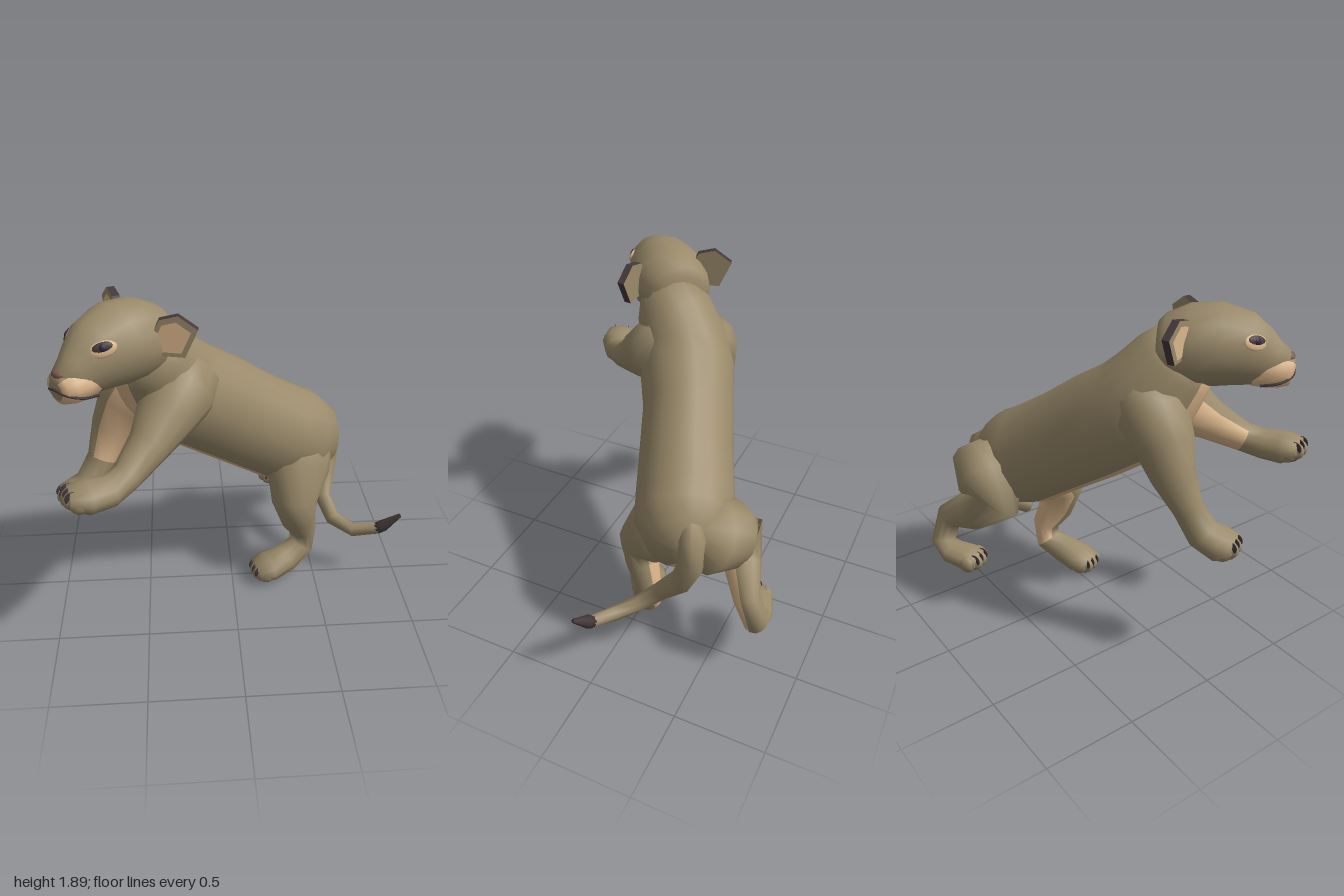
import * as THREE from 'three';

const V = (x, y, z) => new THREE.Vector3(x, y, z);
const mat = (color, side = THREE.FrontSide) => new THREE.MeshStandardMaterial({ color, side });
const coat = mat(0x9a8a6a), cream = mat(0xdcb78c), dark = mat(0x45383a), iris = mat(0x2b2540), nosePink = mat(0x7a5c50);
const thinCream = mat(0xdcb78c, THREE.DoubleSide);

const BODY_SIDE = V(0.384, 0, 0.923);   // towards the animal's left
const HEAD_SIDE = V(0.71, 0, 0.70);
const HEAD_FWD = V(-0.70, 0, 0.71);
const headPoint = (s, lat, y) => V(-0.5, 0, 0.22).addScaledVector(HEAD_FWD, s).addScaledVector(HEAD_SIDE, lat).setY(y);

// Skin over oval rings [x, y, z, halfWidth, halfHeight]; a sector around angle `pale` is cream on the first `paleRows`
function loft(name, stations, side, { pale = 0, spread = 0.8, paleRows = 0, seg = 14 } = {}) {
  const centres = stations.map(s => V(s[0], s[1], s[2]));
  const n = centres.length, pos = [], skin = [], light = [];
  stations.forEach((s, i) => {
    const t = centres[Math.min(i + 1, n - 1)].clone().sub(centres[Math.max(i - 1, 0)]).normalize();
    const u = side.clone().addScaledVector(t, -side.dot(t)).normalize();
    const v = t.clone().cross(u);
    for (let j = 0; j < seg; j++) {
      const a = j / seg * Math.PI * 2;
      const p = centres[i].clone().addScaledVector(u, Math.cos(a) * s[3]).addScaledVector(v, Math.sin(a) * (s[4] ?? s[3]));
      pos.push(p.x, p.y, p.z);
    }
  });
  for (let i = 0; i < n - 1; i++) for (let j = 0; j < seg; j++) {
    const k = (j + 1) % seg, a = i * seg + j, b = i * seg + k;
    const mid = (j + 0.5) / seg * Math.PI * 2;
    const list = i < paleRows && Math.cos(mid - pale) > Math.cos(spread) ? light : skin;
    list.push(a, b, a + seg, b, b + seg, a + seg);
  }
  const first = n * seg, last = first + 1, e = (n - 1) * seg;
  pos.push(...centres[0].toArray(), ...centres[n - 1].toArray());
  for (let j = 0; j < seg; j++) {
    const k = (j + 1) % seg;
    skin.push(first, k, j, last, e + j, e + k);
  }
  const g = new THREE.BufferGeometry();
  g.setAttribute('position', new THREE.Float32BufferAttribute(pos, 3));
  g.setIndex([...skin, ...light]);
  g.addGroup(0, skin.length, 0);
  g.addGroup(skin.length, light.length, 1);
  g.computeVertexNormals();
  const m = new THREE.Mesh(g, [coat, cream]);
  m.name = name;
  return m;
}

function blob(name, p, sx, sy, sz, material) {
  const m = new THREE.Mesh(new THREE.SphereGeometry(1, 12, 8), material);
  m.name = name;
  m.position.copy(p);
  m.scale.set(sx, sy, sz);
  return m;
}

// Leg with toes and a dark pad at its last stations
function leg(name, stations, pale) {
  const g = new THREE.Group();
  g.name = name;
  g.add(loft('limb', stations, BODY_SIDE, { pale, paleRows: stations.length - 4, seg: 12 }));
  const [b, a] = stations.slice(-2).map(s => V(s[0], s[1], s[2]));
  const fwd = a.clone().sub(b).normalize();
  const side = BODY_SIDE.clone().addScaledVector(fwd, -BODY_SIDE.dot(fwd)).normalize();
  const paw = new THREE.Group();
  paw.name = 'paw';
  paw.position.copy(a);
  paw.setRotationFromMatrix(new THREE.Matrix4().makeBasis(side, fwd.clone().cross(side), fwd));
  for (let i = 0; i < 4; i++) {
    const off = i - 1.5;
    paw.add(blob('toe', V(off * 0.043, -0.008, -0.025 - 0.012 * off * off), 0.033, 0.05, 0.055, coat));
    if (i < 3) paw.add(blob('toeGap', V((i - 1) * 0.043, 0.015, -0.012), 0.004, 0.036, 0.036, dark));
  }
  paw.add(blob('pad', V(0, -0.052, -0.075), 0.065, 0.025, 0.065, dark));
  g.add(paw);
  return g;
}

function ear(name, sign, p, xAxis) {
  const outline = [[0, -0.08], [-0.05, 0.0], [0, 0.1], [0.09, 0.12], [0.185, 0.05], [0.12, -0.09]];
  const shape = k => new THREE.Shape(outline.map(([x, y]) => new THREE.Vector2(sign * (x * k + 0.05 * (1 - k)), y * k)));
  const g = new THREE.Group();
  g.name = name;
  const shell = new THREE.Mesh(new THREE.ExtrudeGeometry(shape(1), { depth: 0.04, bevelEnabled: false }), [coat, dark]);
  shell.name = 'earShell';
  shell.position.z = -0.04;
  const inner = new THREE.Mesh(new THREE.ShapeGeometry(shape(0.75)), thinCream);
  inner.name = 'innerEar';
  inner.position.z = 0.003;
  g.add(shell, inner);
  g.position.copy(p);
  const x = xAxis.clone().normalize(), y = V(0, 1, 0);
  g.setRotationFromMatrix(new THREE.Matrix4().makeBasis(x, y, x.clone().cross(y)));
  return g;
}

function eye(name, sign) {
  const g = new THREE.Group();
  g.name = name;
  const p = headPoint(0.3, sign * 0.118, 1.742);
  g.position.copy(p);
  g.lookAt(p.clone().addScaledVector(HEAD_FWD, 0.6).addScaledVector(HEAD_SIDE, sign * 0.75).add(V(0, 0.35, 0)));
  g.rotateZ(sign * 0.2);
  g.add(blob('eyePatch', V(0, -0.003, 0.004), 0.07, 0.04, 0.014, cream));
  g.add(blob('eyelid', V(0, 0.006, 0.01), 0.052, 0.025, 0.012, dark));
  g.add(blob('iris', V(0, 0.004, 0.016), 0.019, 0.019, 0.009, iris));
  return g;
}

export function createModel() {
  const model = new THREE.Group();
  model.name = 'rearingBigCat';

  // Torso, from rump to neck
  model.add(loft('torso', [
    [0.61, 0.78, -0.38, 0.08, 0.09], [0.56, 0.79, -0.35, 0.19, 0.2], [0.44, 0.81, -0.29, 0.26, 0.28],
    [0.3, 0.87, -0.235, 0.265, 0.29], [0.1, 1.01, -0.15, 0.255, 0.285], [-0.1, 1.157, -0.07, 0.25, 0.29],
    [-0.28, 1.29, 0.02, 0.265, 0.285], [-0.37, 1.42, 0.09, 0.245, 0.26], [-0.43, 1.56, 0.17, 0.21, 0.225],
    [-0.48, 1.66, 0.23, 0.16, 0.18]], BODY_SIDE, { pale: -Math.PI / 2, spread: 0.55, paleRows: 9, seg: 18 }));

  // Head: [distance forward, half width, top, bottom]
  const headRings = rows => rows.map(([s, a, t, b]) => [...headPoint(s, 0, (t + b) / 2).toArray(), a, (t - b) / 2]);
  const head = new THREE.Group();
  head.name = 'head';
  head.add(loft('skull', headRings([
    [-0.17, 0.13, 1.78, 1.54], [-0.12, 0.185, 1.82, 1.5], [0, 0.22, 1.875, 1.475], [0.13, 0.205, 1.89, 1.475],
    [0.25, 0.165, 1.85, 1.475], [0.33, 0.125, 1.78, 1.475], [0.4, 0.095, 1.72, 1.49], [0.47, 0.06, 1.67, 1.52]]),
  HEAD_SIDE, { seg: 16 }));
  head.add(loft('muzzle', headRings([
    [0.3, 0.1, 1.66, 1.48], [0.37, 0.113, 1.67, 1.475], [0.44, 0.104, 1.66, 1.48], [0.485, 0.08, 1.645, 1.49],
    [0.5, 0.045, 1.62, 1.51]]), HEAD_SIDE, { pale: -Math.PI / 2, spread: 2.5, paleRows: 4 }));
  const nose = blob('nose', headPoint(0.475, 0, 1.64), 0.042, 0.024, 0.028, nosePink);
  nose.rotation.y = -Math.PI / 4;
  head.add(nose);
  const lips = [[0.34, 0.113, 1.52], [0.43, 0.107, 1.535], [0.49, 0.06, 1.555], [0.505, 0, 1.57],
    [0.49, -0.06, 1.555], [0.43, -0.107, 1.535], [0.34, -0.113, 1.52]];
  const mouth = new THREE.Mesh(new THREE.TubeGeometry(new THREE.CatmullRomCurve3(lips.map(p => headPoint(...p))), 24, 0.007, 5), dark);
  mouth.name = 'mouth';
  head.add(mouth, eye('leftEye', 1), eye('rightEye', -1));
  head.add(ear('leftEar', 1, V(-0.37, 1.72, 0.38), V(0.98, 0, 0.08)));
  head.add(ear('rightEar', -1, V(-0.6, 1.745, 0.1), V(0.35, 0, 0.93)));
  model.add(head);

  // Legs, from the body down to the toes
  model.add(leg('leftForeleg', [
    [-0.2, 1.48, 0.03, 0.05], [-0.23, 1.43, 0.1, 0.17], [-0.29, 1.36, 0.19, 0.2], [-0.36, 1.28, 0.31, 0.16],
    [-0.45, 1.18, 0.44, 0.11], [-0.56, 1.09, 0.575, 0.08], [-0.64, 1.06, 0.65, 0.092, 0.08],
    [-0.74, 1.065, 0.7, 0.112, 0.085], [-0.83, 1.085, 0.73, 0.09, 0.05]], Math.PI));
  model.add(leg('rightForeleg', [
    [-0.3, 1.46, 0.02, 0.05], [-0.38, 1.41, 0.01, 0.17], [-0.48, 1.34, 0.0, 0.19], [-0.58, 1.22, 0.0, 0.155],
    [-0.66, 1.07, 0.0, 0.115], [-0.725, 0.9, 0.05, 0.08], [-0.79, 0.77, 0.1, 0.095, 0.088],
    [-0.87, 0.73, 0.15, 0.115, 0.088], [-0.94, 0.735, 0.185, 0.09, 0.055]], 0));
  model.add(leg('leftHindLeg', [
    [0.44, 0.95, -0.26, 0.05], [0.43, 0.84, -0.23, 0.19, 0.2], [0.4, 0.68, -0.11, 0.16, 0.2], [0.37, 0.53, 0.01, 0.115, 0.14],
    [0.4, 0.4, -0.02, 0.095, 0.11], [0.44, 0.27, -0.075, 0.075, 0.08], [0.43, 0.16, -0.07, 0.08],
    [0.33, 0.105, -0.01, 0.088, 0.088], [0.22, 0.08, 0.035, 0.11, 0.08], [0.14, 0.07, 0.06, 0.09, 0.055]], Math.PI));
  model.add(leg('rightHindLeg', [
    [0.53, 0.88, -0.36, 0.07], [0.47, 0.82, -0.44, 0.2, 0.21], [0.34, 0.74, -0.49, 0.19, 0.2], [0.24, 0.67, -0.51, 0.16, 0.13],
    [0.38, 0.58, -0.61, 0.1, 0.12], [0.52, 0.5, -0.69, 0.07, 0.08], [0.51, 0.36, -0.745, 0.07, 0.075],
    [0.43, 0.315, -0.725, 0.085, 0.065], [0.33, 0.315, -0.68, 0.095, 0.065], [0.26, 0.315, -0.64, 0.08, 0.045]], 0));

  // Tail with dark tip
  const tail = new THREE.Group();
  tail.name = 'tail';
  tail.add(loft('tailLength', [
    [0.52, 0.95, -0.37, 0.05], [0.58, 0.86, -0.4, 0.08, 0.1], [0.61, 0.72, -0.41, 0.07, 0.1], [0.61, 0.57, -0.35, 0.06, 0.07],
    [0.58, 0.41, -0.22, 0.05], [0.63, 0.315, -0.11, 0.045], [0.74, 0.29, -0.01, 0.04], [0.88, 0.34, 0.05, 0.034]],
  BODY_SIDE, { seg: 8 }));
  const tip = loft('tailTip', [[0.87, 0.335, 0.045, 0.035], [0.9, 0.36, 0.057, 0.036], [0.99, 0.445, 0.08, 0.012]], BODY_SIDE, { seg: 8 });
  tip.material = dark;
  tip.geometry.clearGroups();
  tail.add(tip);
  model.add(tail);
  return model;
}
